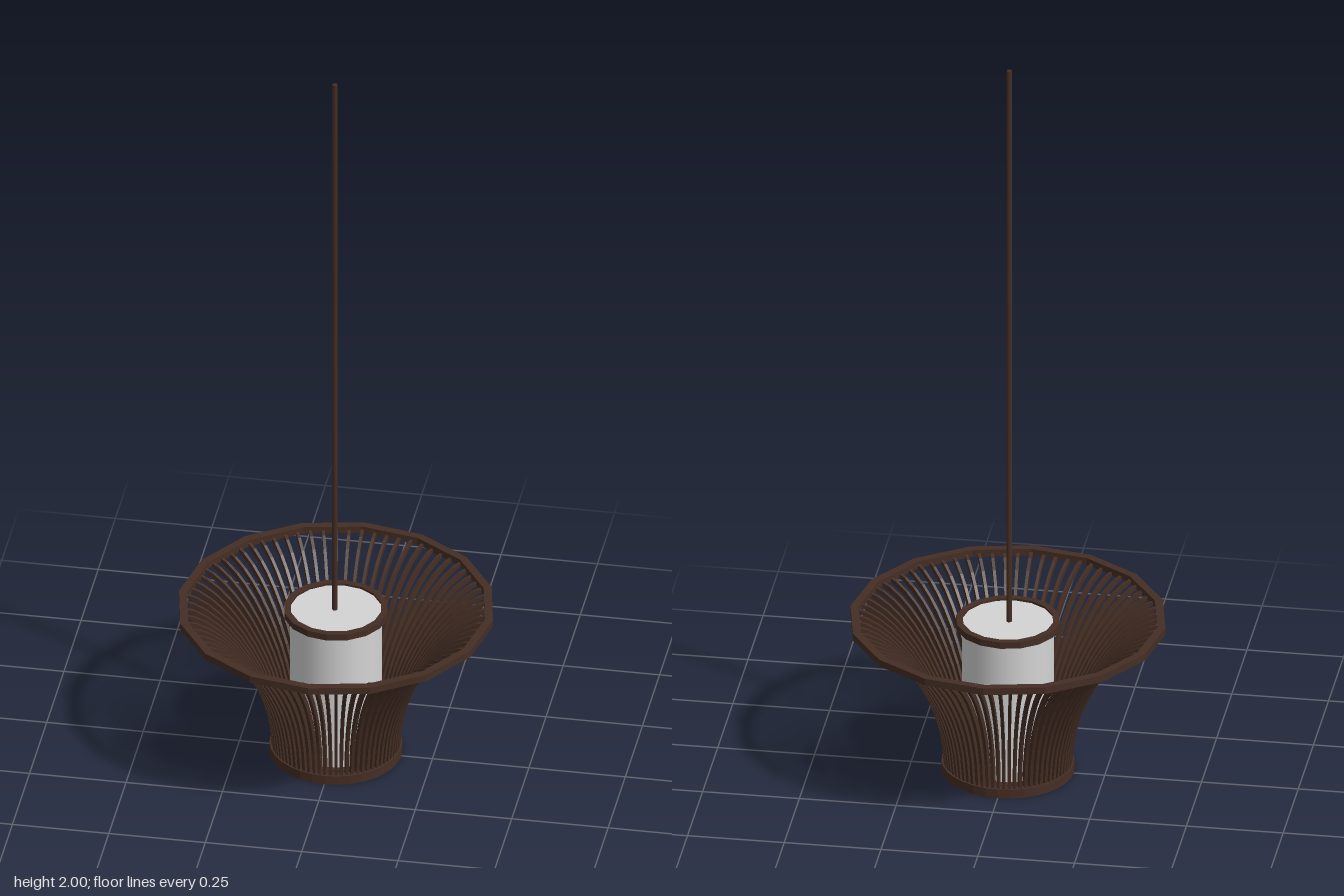
import * as THREE from 'three';

const wood = new THREE.MeshStandardMaterial({ color: 0x452e24, flatShading: true });
wood.name = 'dark wood';
const glass = new THREE.MeshStandardMaterial({ color: 0xd4d4d4 });
glass.name = 'pale diffuser';

const RIBS = 72;

function add(parent, name, geometry, material) {
  const mesh = new THREE.Mesh(geometry, material);
  mesh.name = name;
  parent.add(mesh);
  return mesh;
}

// Flat hoop with a rectangular section
function hoop(inner, outer, y0, y1, sides) {
  const section = [[inner, y0], [outer, y0], [outer, y1], [inner, y1], [inner, y0]];
  return new THREE.LatheGeometry(section.map(([r, y]) => new THREE.Vector2(r, y)), sides);
}

// Curved slat: a flaring band cut from a thin board
function ribGeometry() {
  const curve = new THREE.SplineCurve([
    [0.163, 0.005], [0.175, 0.11], [0.206, 0.21], [0.262, 0.31], [0.325, 0.38], [0.392, 0.42],
  ].map(([r, y]) => new THREE.Vector2(r, y)));
  const outer = curve.getPoints(12);
  const inner = outer.map((p, i) => {
    const t = curve.getTangent(i / 12);
    const depth = 0.02 - 0.008 * (i / 12);
    return new THREE.Vector2(p.x - t.y * depth, Math.min(p.y + t.x * depth, 0.425));
  });
  const shape = new THREE.Shape([...outer, ...inner.reverse()]);
  const width = 0.008;
  const geometry = new THREE.ExtrudeGeometry(shape, { depth: width, bevelEnabled: false });
  return geometry.translate(0, 0, -width / 2);
}

export function createModel() {
  const lamp = new THREE.Group();
  lamp.name = 'pendantLamp';

  // Hoops holding the slats
  add(lamp, 'topRim', hoop(0.386, 0.407, 0.415, 0.434, 16), wood);
  add(lamp, 'baseRim', hoop(0.15, 0.17, 0, 0.025, 32), wood);

  // Slatted shade
  const shade = new THREE.Group();
  shade.name = 'slattedShade';
  const rib = ribGeometry();
  for (let i = 0; i < RIBS; i++) {
    add(shade, 'slat', rib, wood).rotation.y = (i / RIBS) * Math.PI * 2;
  }
  lamp.add(shade);

  // Inner diffuser with a collar at each end
  const diffuser = new THREE.CylinderGeometry(0.118, 0.118, 0.414, 32);
  add(lamp, 'diffuser', diffuser.translate(0, 0.215, 0), glass);
  add(lamp, 'upperCollar', hoop(0.117, 0.134, 0.41, 0.428, 16), wood);
  add(lamp, 'lowerCollar', hoop(0.117, 0.134, 0, 0.02, 16), wood);

  // Hanging cord
  const cord = new THREE.CylinderGeometry(0.007, 0.007, 1.58, 8);
  add(lamp, 'cord', cord.translate(-0.003, 1.21, 0), wood);

  return lamp;
}
